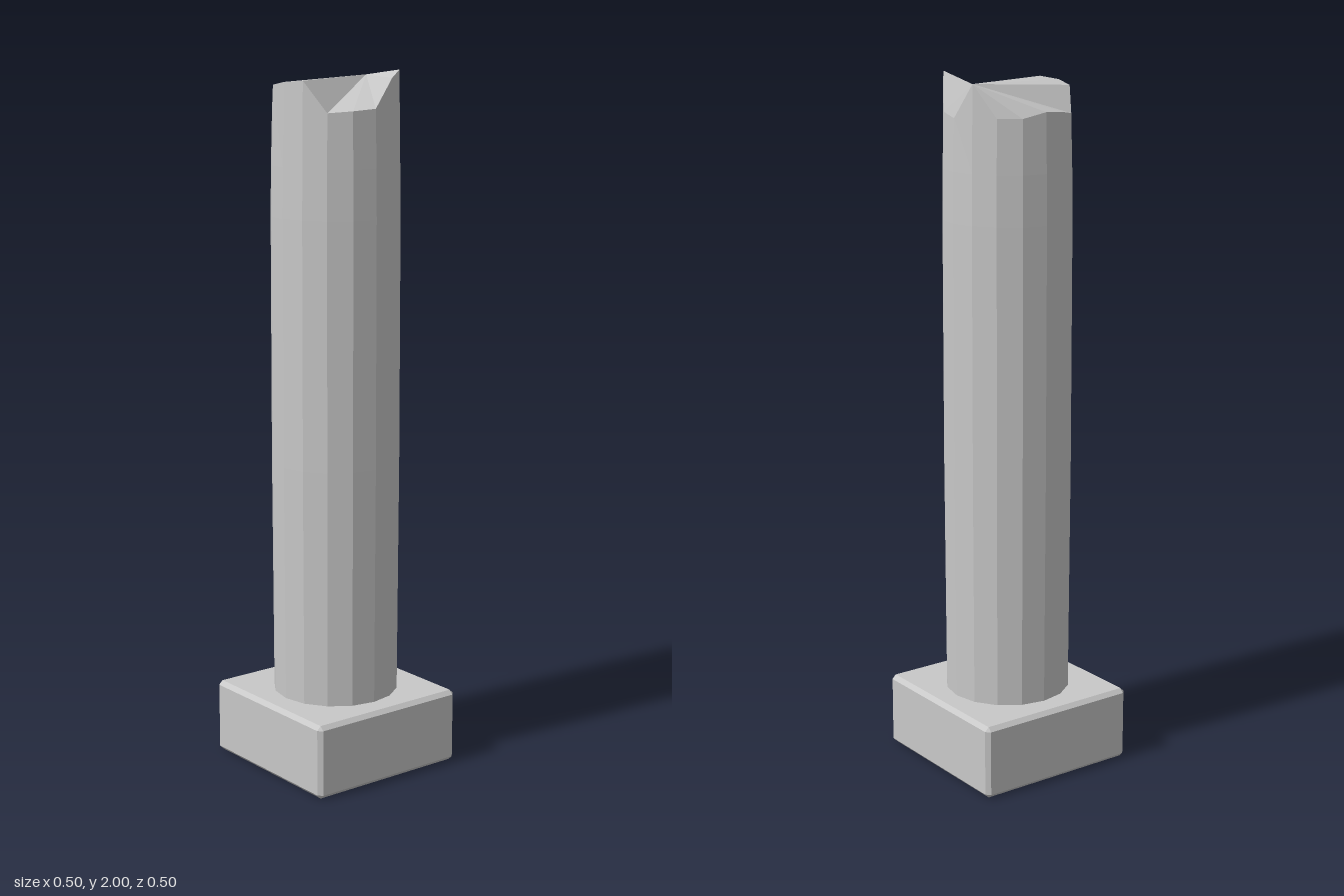
import * as THREE from 'three';
import { ConvexGeometry } from 'three/addons/geometries/ConvexGeometry.js';

const SIDES = 16;
// Height of the broken rim at each corner, starting at +x and turning towards +z
const RIM = [1.9, 1.895, 1.89, 1.975, 1.97, 1.96, 1.89, 1.9,
  1.905, 1.89, 1.89, 1.98, 1.885, 1.895, 2.0, 1.98];
// Shaft rings below the rim: [height, radius]
const RINGS = [[0.2, 0.181], [0.9, 0.184], [1.6, 0.183], [1.74, 0.181]];
const RIM_RADIUS = 0.177;

// Box with every edge cut at 45 degrees
function chamferedBox(w, h, d, c) {
  const points = [];
  for (const x of [-1, 1]) for (const y of [-1, 1]) for (const z of [-1, 1]) {
    const p = [x * w / 2, y * h / 2, z * d / 2];
    const s = [x, y, z];
    for (let axis = 0; axis < 3; axis++) {
      points.push(new THREE.Vector3(...p.map((v, i) => (i === axis ? v : v - s[i] * c))));
    }
  }
  return new ConvexGeometry(points);
}

function polar(i, radius, y) {
  const a = (i % SIDES) / SIDES * Math.PI * 2;
  return [Math.cos(a) * radius, y, Math.sin(a) * radius];
}

function facets(positions) {
  const geometry = new THREE.BufferGeometry();
  geometry.setAttribute('position', new THREE.Float32BufferAttribute(positions.flat(), 3));
  geometry.computeVertexNormals();
  return geometry;
}

export function createModel() {
  const model = new THREE.Group();
  model.name = 'brokenColumn';
  const stone = new THREE.MeshStandardMaterial({ color: 0xc8c8c8 });
  stone.name = 'stone';
  stone.flatShading = true;

  const add = (name, geometry) => {
    const mesh = new THREE.Mesh(geometry, stone);
    mesh.name = name;
    model.add(mesh);
    return mesh;
  };

  // Square plinth
  add('plinth', chamferedBox(0.5, 0.215, 0.5, 0.012)).position.y = 0.1075;

  // Sixteen-sided shaft, narrowing slightly up to the jagged rim
  const corner = (ring, i) => (ring < RINGS.length
    ? polar(i, RINGS[ring][1], RINGS[ring][0])
    : polar(i, RIM_RADIUS, RIM[i % SIDES]));
  const walls = [];
  for (let r = 0; r < RINGS.length; r++) {
    for (let i = 0; i < SIDES; i++) {
      const a = corner(r, i), b = corner(r, i + 1);
      const c = corner(r + 1, i + 1), d = corner(r + 1, i);
      walls.push(a, d, c, a, c, b);
    }
  }
  add('shaft', facets(walls));

  // Fractured top, fanned out from the high corner at the back
  const hub = 11;
  const top = [];
  for (let k = 1; k < SIDES - 1; k++) {
    top.push(corner(RINGS.length, hub), corner(RINGS.length, hub + k + 1), corner(RINGS.length, hub + k));
  }
  add('fracturedTop', facets(top));

  return model;
}
